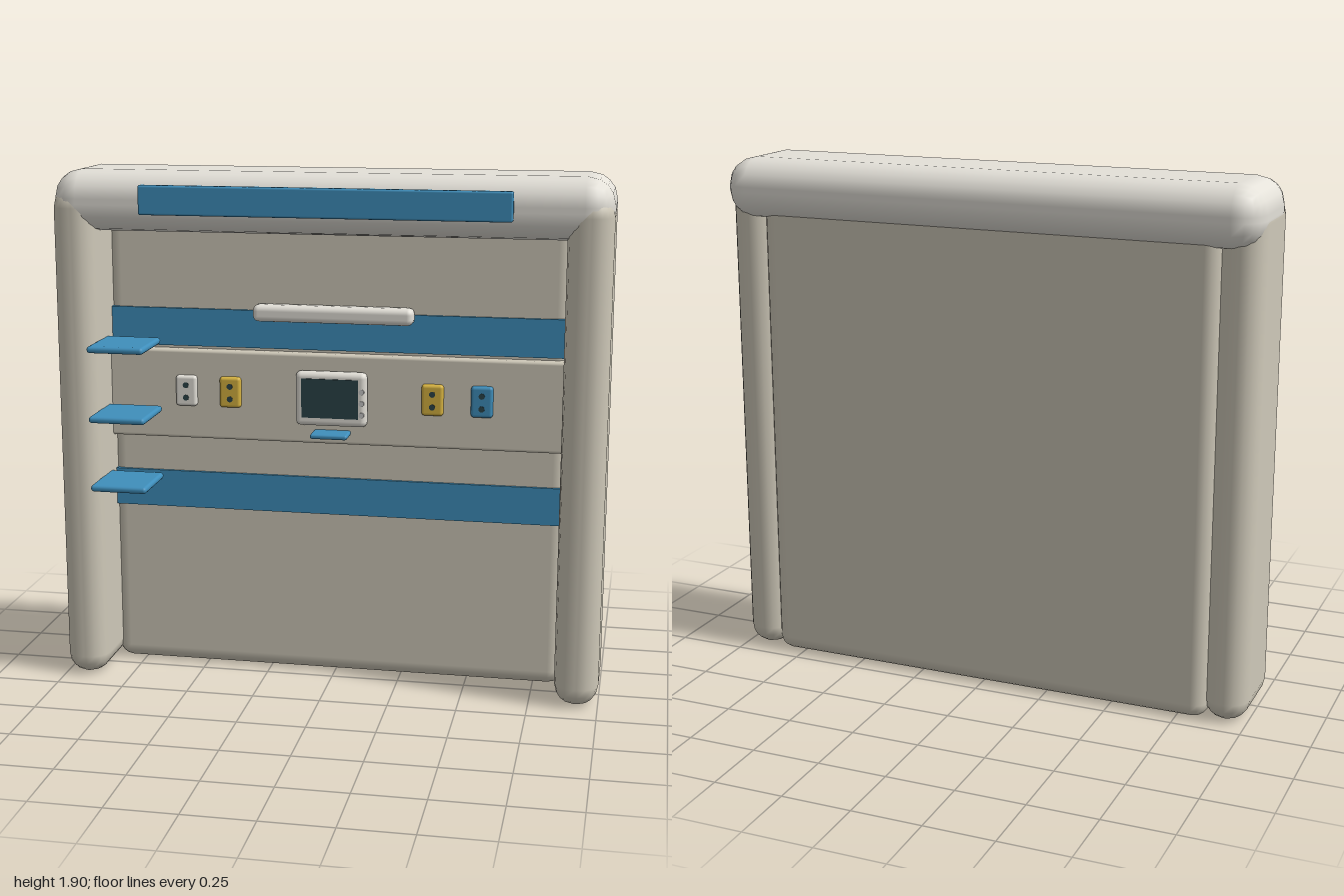
import * as THREE from 'three';
import { RoundedBoxGeometry } from 'three/addons/geometries/RoundedBoxGeometry.js';

const paint = (color) => new THREE.MeshStandardMaterial({ color });

export function createModel() {
  const model = new THREE.Group();
  model.name = 'wallUnit';
  const beige = paint(0xcfc9b9), cream = paint(0xe4e1d9), blue = paint(0x3f8fbc);
  const yellow = paint(0xd8b441), dark = paint(0x2b4348), grey = paint(0xcccccc);

  // Box given by its min and max on each axis; radius 0 keeps sharp edges
  function block(name, material, [x0, x1], [y0, y1], [z0, z1], radius = 0, segments = 2) {
    const size = [x1 - x0, y1 - y0, z1 - z0];
    const geometry = radius
      ? new RoundedBoxGeometry(...size, segments, radius)
      : new THREE.BoxGeometry(...size);
    const mesh = new THREE.Mesh(geometry, material);
    mesh.name = name;
    mesh.position.set((x0 + x1) / 2, (y0 + y1) / 2, (z0 + z1) / 2);
    model.add(mesh);
    return mesh;
  }

  // Small disc facing the front
  function disc(name, material, x, y, z, radius) {
    const mesh = new THREE.Mesh(new THREE.CylinderGeometry(radius, radius, 0.008, 16), material);
    mesh.name = name;
    mesh.rotation.x = Math.PI / 2;
    mesh.position.set(x, y, z);
    model.add(mesh);
  }

  // Frame: hood, two posts and the back panel
  block('hood', cream, [-1, 1], [1.68, 1.9], [-0.25, 0.17], 0.1);
  block('rightPost', beige, [-1, -0.84], [0, 1.84], [-0.2, 0.17], 0.075);
  block('leftPost', beige, [0.84, 1], [0, 1.84], [-0.2, 0.17], 0.075);
  block('backPanel', beige, [-0.86, 0.86], [0, 1.76], [-0.205, -0.05], 0.055);

  // Sign strip on the hood
  block('signStrip', blue, [-0.66, 0.66], [1.75, 1.855], [0.165, 0.195], 0.008);

  // Coloured bands and the raised console between them
  block('upperBand', blue, [-0.845, 0.845], [1.245, 1.385], [-0.08, -0.04]);
  block('lowerBand', blue, [-0.845, 0.845], [0.625, 0.765], [-0.08, -0.04]);
  block('console', beige, [-0.85, 0.85], [0.9, 1.235], [-0.08, -0.015], 0.012);
  block('lamp', cream, [-0.295, 0.295], [1.35, 1.412], [-0.06, 0.01], 0.022);

  // Side shelves
  for (const y of [0.757, 1.013, 1.27]) {
    block('sideShelf', blue, [-0.85, -0.64], [y - 0.0125, y + 0.0125], [0.005, 0.245], 0.012);
  }

  // Monitor with screen, buttons and tray
  block('monitor', cream, [-0.135, 0.13], [0.972, 1.175], [-0.03, 0.018], 0.022);
  block('screen', dark, [-0.11, 0.1], [1.005, 1.15], [0.005, 0.022]);
  for (const y of [1.02, 1.063, 1.106]) disc('button', grey, 0.112, y, 0.018, 0.01);
  block('tray', blue, [-0.07, 0.067], [0.936, 0.954], [-0.03, 0.07], 0.008);

  // Sockets, each with two holes
  const sockets = [[-0.55, cream], [-0.383, yellow], [0.368, yellow], [0.547, blue]];
  for (const [x, material] of sockets) {
    block('socket', material, [x - 0.04, x + 0.04], [1.025, 1.14], [-0.03, 0.004], 0.012);
    for (const y of [1.058, 1.105]) disc('socketHole', dark, x, y, 0.002, 0.011);
  }

  return model;
}
